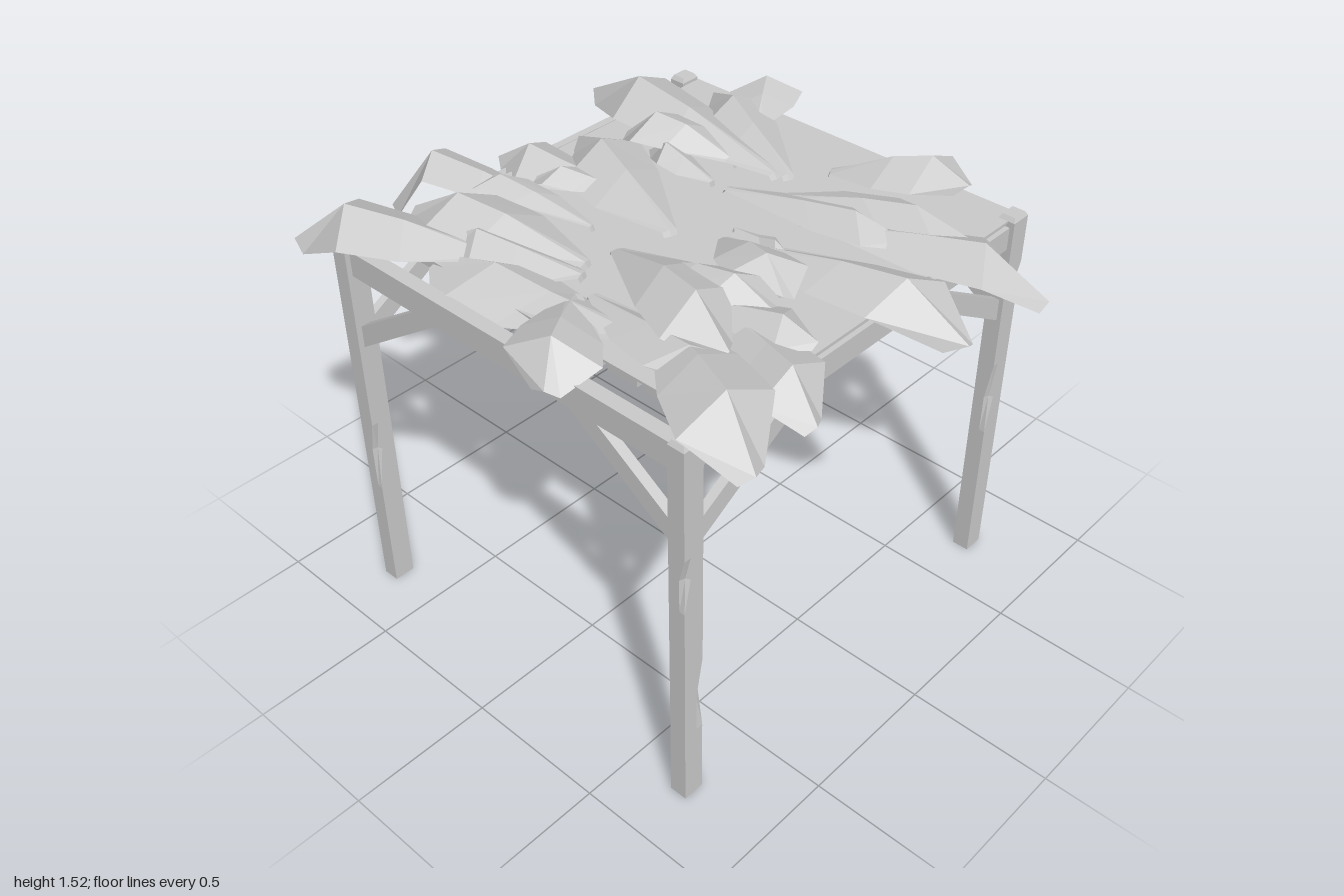
import * as THREE from 'three';

const wood = new THREE.MeshStandardMaterial({ color: 0xcccccc, flatShading: true });
const leafMat = new THREE.MeshStandardMaterial({ color: 0xcccccc, flatShading: true, side: THREE.DoubleSide });

const FRONT = 0.777, BACK = -0.722, SIDE = 0.7, MID = (FRONT + BACK) / 2;

function add(parent, name, geometry, material = wood) {
  const mesh = new THREE.Mesh(geometry, material);
  mesh.name = name;
  parent.add(mesh);
  return mesh;
}

function box(parent, name, w, h, d, x, y, z) {
  const mesh = add(parent, name, new THREE.BoxGeometry(w, h, d));
  mesh.position.set(x, y, z);
  return mesh;
}

// Square post with two carved nicks; each nick is [start, centre, end, cornerX, cornerZ]
function postGeometry(low, high) {
  const levels = [0, ...low.slice(0, 3), ...high.slice(0, 3), 1.38, 1.395];
  const n = levels.length - 1;
  const g = new THREE.BoxGeometry(0.06, n, 0.075, 3, n, 3);
  const p = g.attributes.position;
  for (let i = 0; i < p.count; i++) {
    const k = Math.round(p.getY(i) + n / 2);
    let x = p.getX(i), z = p.getZ(i);
    for (const [at, nick] of [[2, low], [5, high]]) {
      if (k === at && x * nick[3] > 0.029 && z * nick[4] > 0.037) {
        x -= nick[3] * 0.014;
        z -= nick[4] * 0.018;
      }
    }
    if (k === n) { x *= 0.75; z *= 0.75; }
    p.setXYZ(i, x, levels[k], z);
  }
  g.computeVertexNormals();
  return g;
}

// Diagonal brace leaning from a post (at x = 0) in towards -x
function braceGeometry(reach, depth) {
  const s = new THREE.Shape([[0, 1.01], [0, 1.09], [-reach * 0.73, 1.285], [-reach, 1.285]]
    .map(([x, y]) => new THREE.Vector2(x, y)));
  return new THREE.ExtrudeGeometry(s, { depth, bevelEnabled: false }).translate(0, 0, -depth / 2);
}

// Folded leaf: a raised spine with a drooping edge on either side;
// stems that start near the middle poke down through the roof
function leafGeometry(bx, bz, tx, tz, width, peak, tipY, skew) {
  const stemY = Math.abs(bx) < 0.2 ? 1.25 : 1.36;
  const length = Math.hypot(tx - bx, tz - bz);
  const nx = -(tz - bz) / length, nz = (tx - bx) / length;
  // [along, half width, spine height]
  const rows = [
    [0, 0.02, stemY], [0.1, 0.15, 1.4], [0.5, 0.85, peak - 0.02],
    [0.75, 1, peak], [1, 0.3, tipY],
  ];
  const pos = [], index = [];
  rows.forEach(([t, w, y], r) => {
    for (const s of [-1, 0, 1]) {
      const a = t + (r > 1 ? s * skew * (r === 4 ? 0.5 : 1) : 0) - (r === 4 ? s * s * 0.04 : 0);
      const off = s * w * width / 2;
      const drop = Math.abs(off) * (r < 2 ? 0.2 : 0.5);
      pos.push(bx + (tx - bx) * a + nx * off, y - drop, bz + (tz - bz) * a + nz * off);
    }
    if (r) {
      for (const c of [0, 1]) {
        const i = (r - 1) * 3 + c;
        index.push(i, i + 1, i + 3, i + 1, i + 4, i + 3);
      }
    }
  });
  const g = new THREE.BufferGeometry();
  g.setAttribute('position', new THREE.Float32BufferAttribute(pos, 3));
  g.setIndex(index);
  g.computeVertexNormals();
  return g;
}

export function createModel() {
  const model = new THREE.Group();
  model.name = 'leafCanopyShelter';

  // Four nicked posts
  const frame = new THREE.Group();
  frame.name = 'frame';
  model.add(frame);
  const posts = [
    ['frontLeftPost', SIDE, FRONT, [0.28, 0.43, 0.57, 1, -1], [0.8, 0.92, 1.0, 1, 1]],
    ['frontRightPost', -SIDE, FRONT, [0.43, 0.59, 0.7, 1, 1], [0.86, 0.95, 1.04, -1, -1]],
    ['backLeftPost', SIDE, BACK, [0.55, 0.69, 0.83, 1, 1], [1.1, 1.15, 1.21, 1, -1]],
    ['backRightPost', -SIDE, BACK, [0.45, 0.58, 0.72, -1, 1], [0.9, 1.02, 1.12, -1, -1]],
  ];
  for (const [name, x, z, low, high] of posts) {
    add(frame, name, postGeometry(low, high)).position.set(x, 0, z);
  }

  // Perimeter beams
  for (const z of [FRONT, BACK]) box(frame, 'crossBeam', 1.36, 0.09, 0.05, 0, 1.325, z - Math.sign(z) * 0.005);
  for (const s of [-1, 1]) box(frame, 'sideBeam', 0.03, 0.08, FRONT - BACK - 0.05, s * SIDE, 1.32, MID);

  // Diagonal braces, two per side of the frame
  const crossBrace = braceGeometry(0.4, 0.035), sideBrace = braceGeometry(0.46, 0.03);
  for (const s of [-1, 1]) {
    for (const z of [FRONT, BACK]) {
      const a = add(frame, 'crossBrace', crossBrace);
      a.position.set(s * 0.67, 0, z);
      a.rotation.y = s > 0 ? 0 : Math.PI;
      const b = add(frame, 'sideBrace', sideBrace);
      b.position.set(s * SIDE, 0, z === FRONT ? 0.74 : -0.685);
      b.rotation.y = z === FRONT ? -Math.PI / 2 : Math.PI / 2;
    }
  }

  // Roof slats running front to back, under a thin mat
  const roof = new THREE.Group();
  roof.name = 'roof';
  model.add(roof);
  for (let i = 0; i < 10; i++) {
    box(roof, 'roofSlat', 0.112, 0.022, 1.42, -0.6 + i * 0.138, 1.361, -0.04);
  }
  box(roof, 'roofMat', 1.36, 0.008, 1.42, 0.025, 1.376, -0.04);

  // Leaves: base x, z, tip x, z, width, peak height, tip height, skew
  const foliage = new THREE.Group();
  foliage.name = 'foliage';
  model.add(foliage);
  const back = [
    [0.1, -0.39, -0.52, -0.68, 0.27, 1.47, 1.4, 0.08],
    [-0.22, -0.55, -0.43, -0.88, 0.25, 1.47, 1.39, 0.06],
    [0.08, -0.51, 0.52, -0.74, 0.28, 1.5, 1.41, -0.1],
    [0.1, -0.39, -0.91, -0.47, 0.33, 1.5, 1.36, 0.05],
    [0.03, -0.28, 0.7, -0.48, 0.18, 1.48, 1.41, 0.12],
    [-0.12, -0.21, 0.57, -0.34, 0.2, 1.46, 1.41, 0.1],
    [0.2, -0.22, 0.99, -0.49, 0.28, 1.46, 1.31, 0.04],
    [-0.1, -0.38, -0.53, -0.26, 0.24, 1.51, 1.41, -0.08],
    [-0.08, -0.22, -0.4, -0.23, 0.15, 1.46, 1.4, 0.1],
    [-0.2, -0.42, -0.52, -0.42, 0.16, 1.47, 1.41, 0.06],
  ];
  const middle = [
    [0.12, 0.0, 0.96, -0.12, 0.29, 1.48, 1.33, -0.06],
    [0.1, -0.06, 0.36, -0.05, 0.06, 1.43, 1.4, 0.1],
    [0.1, -0.01, 0.49, 0.14, 0.24, 1.5, 1.41, -0.08],
    [0.06, 0.11, -0.64, -0.14, 0.33, 1.48, 1.4, 0.08],
    [-0.25, 0.0, -0.79, 0.09, 0.25, 1.45, 1.36, 0.06],
    [-0.2, -0.02, -0.56, 0.14, 0.14, 1.45, 1.39, -0.1],
    [-0.23, 0.21, -1.0, 0.39, 0.21, 1.48, 1.22, 0.04],
    [-0.15, 0.22, -0.68, 0.31, 0.14, 1.47, 1.4, -0.1],
  ];
  const front = [
    [0.0, 0.37, -0.69, 0.52, 0.32, 1.5, 1.4, -0.06],
    [0.02, 0.42, -0.5, 0.58, 0.3, 1.46, 1.39, 0.08],
    [-0.2, 0.5, -0.91, 0.83, 0.3, 1.49, 1.33, 0.05],
    [0.4, 0.53, -0.42, 0.63, 0.36, 1.44, 1.39, -0.12],
    [0.0, 0.48, 0.27, 0.87, 0.29, 1.47, 1.37, -0.06],
    [-0.12, 0.25, 0.56, 0.45, 0.3, 1.52, 1.42, 0.08],
    [-0.02, 0.27, 0.52, 0.22, 0.26, 1.49, 1.42, -0.08],
    [0.25, 0.32, 0.7, 0.24, 0.2, 1.46, 1.41, 0.06],
    [0.35, 0.26, 0.88, 0.46, 0.26, 1.45, 1.34, 0.08],
    [0.0, 0.48, 0.66, 0.56, 0.22, 1.46, 1.4, -0.1],
    [0.2, 0.4, 0.9, 0.73, 0.32, 1.49, 1.35, 0.06],
  ];
  for (const leaf of [...back, ...middle, ...front]) {
    add(foliage, 'leaf', leafGeometry(...leaf), leafMat);
  }

  return model;
}
